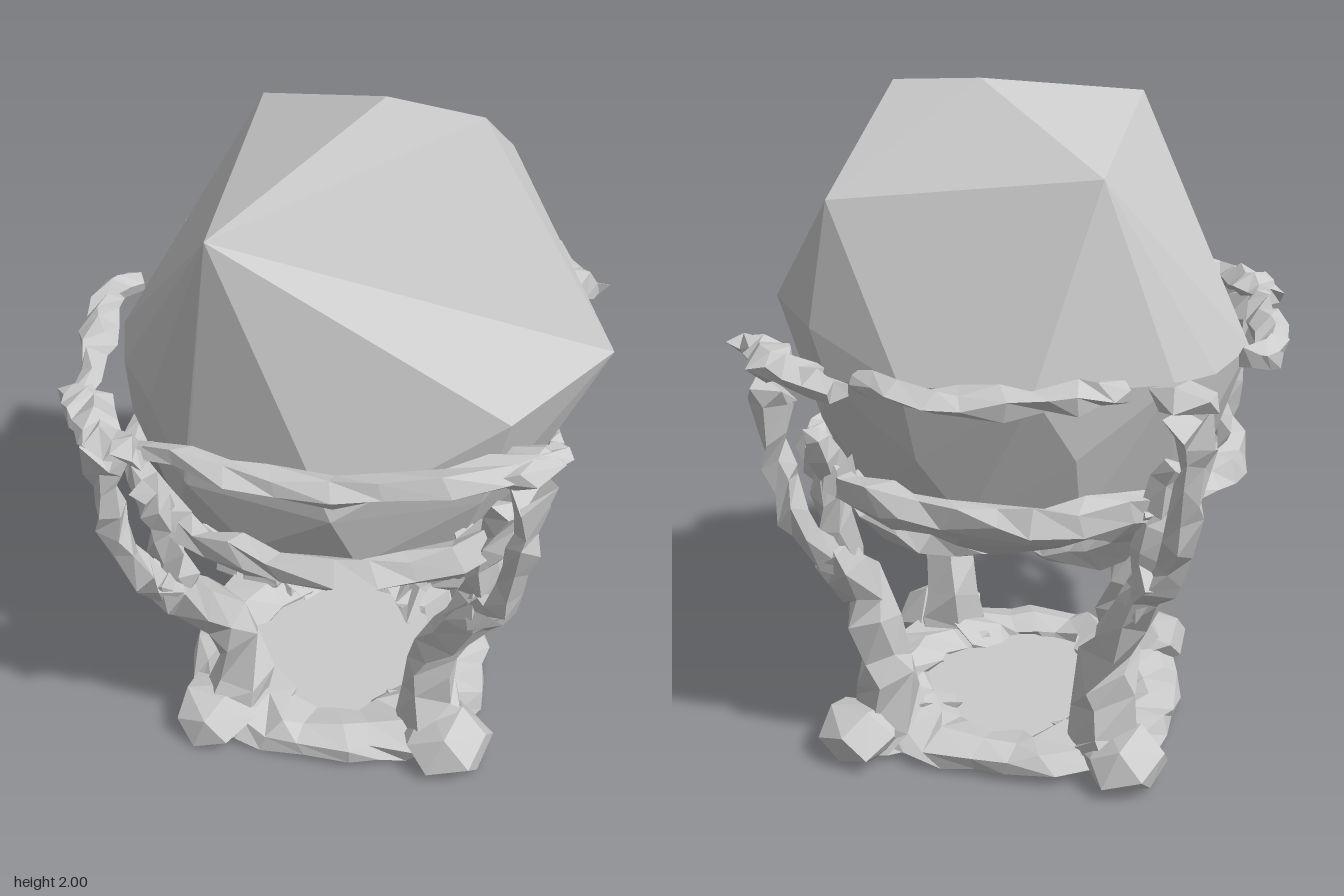
import * as THREE from 'three';
import { ConvexGeometry } from 'three/addons/geometries/ConvexGeometry.js';

const material = new THREE.MeshStandardMaterial({ color: 0xcccccc, flatShading: true, side: THREE.DoubleSide });

// Small seeded generator for the gnarled surfaces
let seed = 7;
const rand = () => {
  seed = (seed * 16807) % 2147483647;
  return seed / 2147483647;
};
const jitter = (amount) => (rand() * 2 - 1) * amount;
const V = (p) => new THREE.Vector3(p[0], p[1], p[2]);

function add(parent, geometry, name) {
  const mesh = new THREE.Mesh(geometry, material);
  mesh.name = name;
  parent.add(mesh);
  return mesh;
}

// Knotty branch: irregular cross-sections swept along a curve, closed at the ends.
// flat scales the thickness measured outwards from the centre of the model.
function branch(points, radii, { sides = 5, steps = 8, rough = 0.35, flat = 1 } = {}) {
  const curve = new THREE.CatmullRomCurve3(points.map(V));
  const pos = [], index = [];
  for (let i = 0; i <= steps; i++) {
    const t = i / steps;
    const c = curve.getPoint(t);
    const tangent = curve.getTangent(t);
    const out = new THREE.Vector3(c.x, 0, c.z).normalize();
    const side = new THREE.Vector3().crossVectors(tangent, out).normalize();
    const up = new THREE.Vector3().crossVectors(side, tangent).normalize();
    const f = t * (radii.length - 1), k = Math.min(Math.floor(f), radii.length - 2);
    const r = THREE.MathUtils.lerp(radii[k], radii[k + 1], f - k);
    const twist = jitter(0.4);
    for (let j = 0; j < sides; j++) {
      const a = (j / sides) * Math.PI * 2 + twist;
      const rr = r * (1 + jitter(rough));
      const v = c.clone().addScaledVector(side, Math.cos(a) * rr).addScaledVector(up, Math.sin(a) * rr * flat);
      v.addScaledVector(tangent, jitter(r * 0.6));
      pos.push(v.x, Math.max(0, v.y), v.z);
      if (i < steps) {
        const p = i * sides + j, q = i * sides + ((j + 1) % sides);
        index.push(p, q, p + sides, q, q + sides, p + sides);
      }
    }
  }
  for (let j = 1; j < sides - 1; j++) {
    const e = steps * sides;
    index.push(0, j + 1, j, e, e + j, e + j + 1);
  }
  const g = new THREE.BufferGeometry();
  g.setAttribute('position', new THREE.Float32BufferAttribute(pos, 3));
  g.setIndex(index);
  g.computeVertexNormals();
  return g;
}

// Rough convex lump
function lump(x, y, z, rx, ry, rz, count = 14) {
  const pts = [];
  for (let i = 0; i < count; i++) {
    const h = 1 - (2 * (i + 0.5)) / count, a = i * 2.4, s = Math.sqrt(1 - h * h);
    const k = 1 + jitter(0.15);
    pts.push(new THREE.Vector3(x + rx * s * Math.cos(a) * k, Math.max(0, y + ry * h * k), z + rz * s * Math.sin(a) * k));
  }
  return new ConvexGeometry(pts);
}

// Arc of points at a height; angles in degrees from the front towards +x
function arc(from, to, radius, y, n = 6) {
  return Array.from({ length: n + 1 }, (_, i) => {
    const a = THREE.MathUtils.degToRad(from + ((to - from) * i) / n);
    return [Math.sin(a) * radius, y, Math.cos(a) * radius];
  });
}

export function createModel() {
  seed = 7;
  const model = new THREE.Group();
  model.name = 'gemOnStand';

  // Large cut stone: a few big corners above, a rounder bowl below,
  // meeting in a shallow crease from the upper left to the front corner
  const stone = new THREE.Group();
  stone.name = 'stone';
  model.add(stone);
  const peak = [[0.13, 2.0, 0.02], [0.28, 1.98, 0.25], [0.62, 1.72, 0.01], [0.12, 1.82, -0.56]];
  const shared = [
    [-0.59, 1.88, 0.23], [0.54, 1.31, 0.56], [0.69, 1.38, 0.0], [0.68, 1.25, -0.08], [0.6, 1.3, -0.34],
    [0.35, 1.3, -0.59], [-0.04, 1.28, -0.67], [-0.22, 1.26, -0.62], [-0.45, 1.26, -0.49], [-0.56, 1.26, -0.3],
    [-0.62, 1.28, -0.06], [-0.62, 1.1, 0.1],
  ];
  const bowl = [[0.02, 1.35, 0.7], [0.08, 0.53, 0.02]];
  for (const [y, r, n] of [[1.08, 0.625, 9], [0.88, 0.55, 11], [0.73, 0.42, 9], [0.61, 0.2, 6]]) {
    arc(0, 360 - 360 / n, r, y, n - 1).forEach(([x, h, z]) => bowl.push([x, h + jitter(0.02), z]));
  }
  add(stone, new ConvexGeometry([...peak, ...shared].map(V)), 'stoneCrown');
  add(stone, new ConvexGeometry([...shared, ...bowl].map(V)), 'stoneBowl');

  // Base: thin plate inside a broad knotty rim
  const base = new THREE.Group();
  base.name = 'base';
  model.add(base);
  add(base, new THREE.CylinderGeometry(0.36, 0.42, 0.06, 12), 'plate').position.y = 0.03;
  for (let i = 0; i < 4; i++) {
    add(base, branch(arc(i * 90 - 4, i * 90 + 94, 0.4, 0.05), [0.075, 0.055, 0.045, 0.055, 0.075],
      { steps: 7, sides: 6, rough: 0.25, flat: 2 }), 'baseRim');
  }

  // Four forked legs, made along +z and turned into place; shift moves the foot outwards
  for (const [name, turn, shift] of [['frontLeg', 0, 0], ['leftLeg', 90, 0.05], ['backLeg', 180, 0.01], ['rightLeg', 270, -0.03]]) {
    const leg = new THREE.Group();
    leg.name = name;
    leg.rotation.y = THREE.MathUtils.degToRad(turn);
    model.add(leg);
    add(leg, lump(0, 0.075, 0.54 + shift, 0.14, 0.1, 0.14), 'foot');
    add(leg, branch([[0, 0.02, 0.46 + shift], [0.01, 0.2, 0.43 + shift], [0, 0.4, 0.46 + shift], [0, 0.58, 0.57], [0, 0.72, 0.67]],
      [0.11, 0.095, 0.085, 0.07, 0.06], { rough: 0.25, steps: 7 }), 'trunk');
    add(leg, branch([[0, 0.66, 0.63], [0.01, 0.78, 0.74], [-0.01, 0.95, 0.79], [0, 1.1, 0.81], [0, 1.23, 0.8]],
      [0.055, 0.05, 0.045, 0.045, 0.075], { flat: 0.9 }), 'outerProng');
    add(leg, branch([[0, 0.62, 0.59], [0.01, 0.8, 0.64], [0.02, 0.95, 0.66], [0.03, 1.07, 0.7]],
      [0.055, 0.055, 0.05, 0.045], { steps: 6 }), 'innerProng');
    // Rib cradling the underside
    add(leg, branch([[0, 0.92, 0.61], [0.03, 0.8, 0.53], [0.03, 0.69, 0.4], [0, 0.6, 0.2], [0, 0.57, 0.08]],
      [0.05, 0.05, 0.045, 0.035, 0.025], { steps: 6 }), 'cradleRib');
  }

  // Lower ring of broken branches around the bowl
  const lower = {
    lowerRingFrontRight: arc(-84, 12, 0.63, 0.92),
    lowerRingLeft: [[0.47, 0.9, 0.43], [0.56, 0.92, 0.28], [0.63, 0.95, 0.1], [0.64, 0.95, -0.05]],
    lowerRingBackLeft: arc(88, 182, 0.63, 0.92),
    lowerRingBackRight: arc(178, 274, 0.63, 0.92),
  };
  for (const [name, points] of Object.entries(lower)) {
    add(model, branch(points, [0.05, 0.06, 0.06, 0.06, 0.06], { steps: 9, flat: 0.8 }), name);
  }

  // Upper ring pieces resting on the prongs
  const upper = {
    upperRingFrontRight: [[-0.76, 1.29, 0.14], [-0.67, 1.3, 0.3], [-0.57, 1.28, 0.45], [-0.42, 1.28, 0.6], [-0.22, 1.29, 0.72], [0, 1.28, 0.79], [0.11, 1.28, 0.8]],
    upperRingRight: [[-0.78, 1.3, 0.18], [-0.82, 1.29, 0.05], [-0.79, 1.3, -0.08], [-0.77, 1.29, -0.22]],
    upperRingBackRight: [[-0.76, 1.29, -0.18], [-0.63, 1.29, -0.33], [-0.53, 1.28, -0.48], [-0.42, 1.29, -0.62], [-0.32, 1.29, -0.63]],
    upperRingBackLeft: [[0.13, 1.29, -0.69], [0.26, 1.3, -0.66], [0.39, 1.29, -0.59], [0.53, 1.28, -0.48], [0.62, 1.29, -0.35], [0.67, 1.29, -0.23]],
    upperRingLeft: [[0.74, 1.29, -0.27], [0.79, 1.3, -0.12], [0.8, 1.3, 0.02], [0.77, 1.29, 0.14], [0.78, 1.28, 0.26]],
  };
  for (const [name, points] of Object.entries(upper)) {
    const flat = name === 'upperRingLeft' || name === 'upperRingRight' ? 1.6 : 1.2;
    add(model, branch(points, [0.03, 0.04, 0.042, 0.04, 0.03], { steps: 9, flat }), name);
  }
  add(model, lump(0, 1.28, 0.79, 0.12, 0.04, 0.08, 10), 'frontRingKnot');
  add(model, lump(0, 1.28, -0.77, 0.1, 0.045, 0.11, 10), 'backRingKnot');

  return model;
}
